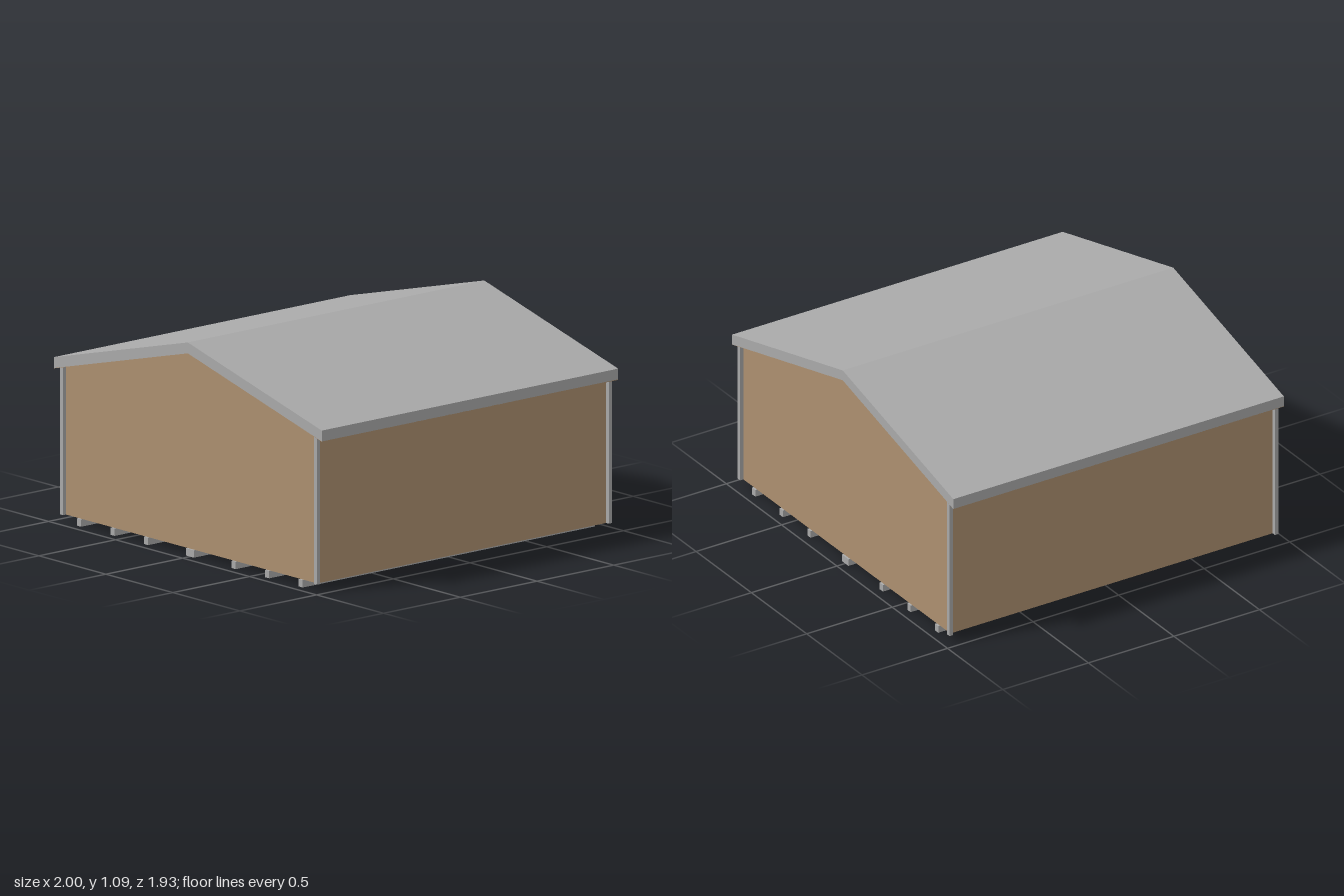
import * as THREE from 'three';

export function createModel() {
  const model = new THREE.Group();
  model.name = 'shed';

  const metal = new THREE.MeshStandardMaterial({ color: 0xaaaaaa });
  metal.name = 'grey metal';
  const wood = new THREE.MeshStandardMaterial({ color: 0xad9070, side: THREE.DoubleSide });
  wood.name = 'tan panel';

  const add = (name, geometry, material, x = 0, y = 0, z = 0) => {
    const mesh = new THREE.Mesh(geometry, material);
    mesh.name = name;
    mesh.position.set(x, y, z);
    model.add(mesh);
    return mesh;
  };
  const shapeOf = (points) => new THREE.Shape(points.map(([x, y]) => new THREE.Vector2(x, y)));

  const base = 0.037, ridge = 1.03, slope = 0.26;
  const wallX = 0.937, wallZ = 0.942, roofZ = 0.966;
  const under = (x) => ridge - slope * x; // underside of the roof at x

  // Roof slab with a thin panelled underside
  const chevron = (low, high, halfDepth) => {
    const geometry = new THREE.ExtrudeGeometry(shapeOf([
      [-1, under(1) + low], [0, ridge + low], [1, under(1) + low],
      [1, under(1) + high], [0, ridge + high], [-1, under(1) + high],
    ]), { depth: halfDepth * 2, bevelEnabled: false });
    return geometry.translate(0, 0, -halfDepth);
  };
  add('roof', chevron(0, 0.055, roofZ), metal);
  add('roofUnderside', chevron(-0.002, 0.001, roofZ - 0.001), wood);

  // Gable walls, front and back
  const gable = new THREE.ShapeGeometry(shapeOf([
    [-wallX, base], [wallX, base], [wallX, under(wallX)], [0, ridge], [-wallX, under(wallX)],
  ]));
  add('frontWall', gable, wood, 0, 0, wallZ);
  add('backWall', gable, wood, 0, 0, -wallZ).rotation.y = Math.PI;

  // Side walls and corner posts
  const wallHeight = under(wallX) - base;
  const side = new THREE.PlaneGeometry(wallZ * 2, wallHeight);
  const postHeight = 0.8 - base;
  const post = new THREE.BoxGeometry(0.022, postHeight, 0.02);
  for (const s of [1, -1]) {
    add(s > 0 ? 'leftWall' : 'rightWall', side, wood, s * wallX, base + wallHeight / 2, 0)
      .rotation.y = s * Math.PI / 2;
    for (const t of [1, -1]) {
      add('cornerPost', post, metal, s * 0.947, base + postHeight / 2, t * 0.951);
    }
  }

  // Floor runners, with a wider one in the middle
  for (const x of [-0.827, -0.577, -0.327, 0, 0.327, 0.577, 0.827]) {
    add('floorRunner', new THREE.BoxGeometry(x === 0 ? 0.06 : 0.03, base, 1.904), metal, x, base / 2, 0);
  }

  return model;
}
